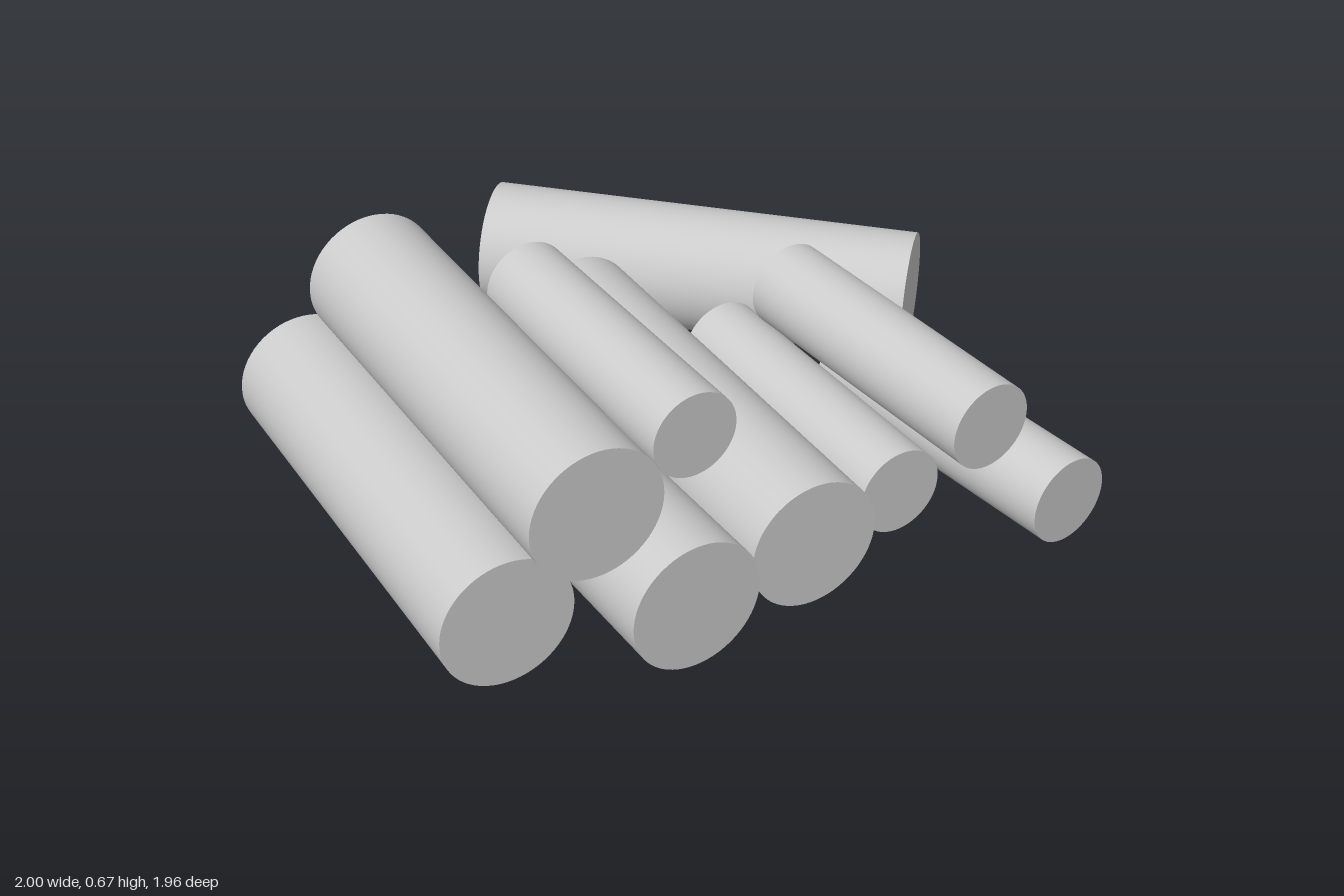
import * as THREE from 'three';

const THICK = 0.179, THIN = 0.121;

// Solid log between two end centres
function log(name, radius, front, back) {
  const a = new THREE.Vector3(...front), b = new THREE.Vector3(...back);
  const axis = b.clone().sub(a);
  const mesh = new THREE.Mesh(
    new THREE.CylinderGeometry(radius, radius, axis.length(), 64),
    new THREE.MeshStandardMaterial({ color: 0xcccccc })
  );
  mesh.name = name;
  mesh.position.copy(a).add(b).multiplyScalar(0.5);
  mesh.quaternion.setFromUnitVectors(new THREE.Vector3(0, 1, 0), axis.normalize());
  return mesh;
}

export function createModel() {
  const model = new THREE.Group();
  model.name = 'logPile';
  model.add(
    // Thick logs on the ground
    log('outerThickLog', THICK, [-0.821, 0.183, 0.692], [-0.769, 0.183, -0.533]),
    log('middleThickLog', THICK, [-0.405, 0.183, 0.876], [-0.405, 0.183, -0.35]),
    log('innerThickLog', THICK, [-0.029, 0.183, 0.824], [0.008, 0.183, -0.401]),
    // Thick log resting on top
    log('upperThickLog', THICK, [-0.628, 0.488, 0.79], [-0.592, 0.488, -0.436]),
    // Thin logs on the ground
    log('innerThinLog', THIN, [0.322, 0.135, 0.705], [0.322, 0.135, -0.13]),
    log('outerThinLog', THIN, [0.666, 0.135, 0.963], [0.578, 0.135, 0.132]),
    // Thin logs resting on top
    log('upperMiddleThinLog', THIN, [-0.215, 0.426, 0.565], [-0.215, 0.426, -0.274]),
    log('upperOuterThinLog', THIN, [0.508, 0.338, 0.821], [0.46, 0.338, -0.015]),
    // Loose log lying askew behind the pile
    log('looseLog', THICK, [0.869, 0.18, 0.009], [0.005, 0.184, -0.857])
  );
  return model;
}
